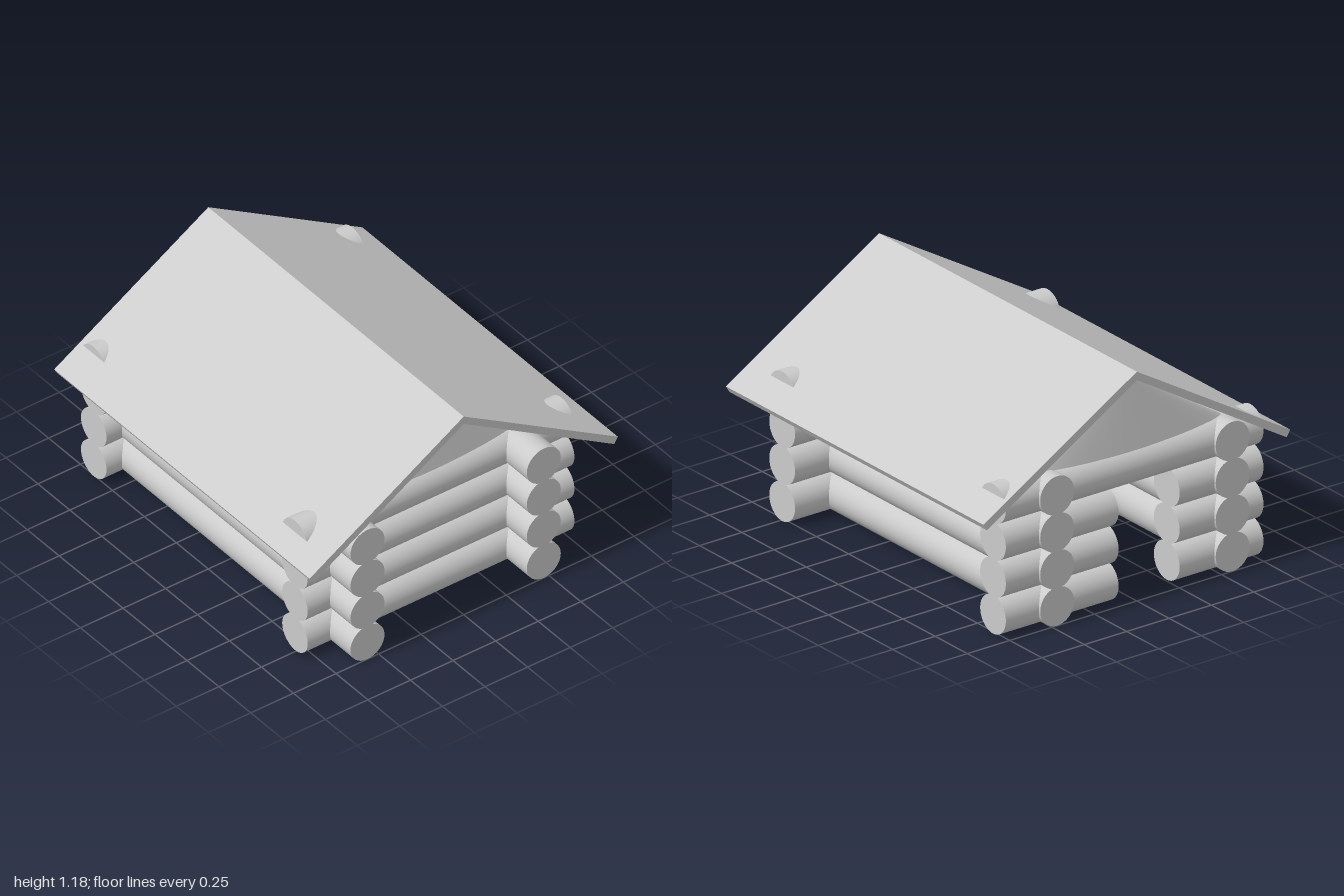
import * as THREE from 'three';

const R = 0.1;          // log radius
const STEP = 0.19;      // height between log rows
const ROWS = 4;
const WALL_X = { left: 0.74, right: -0.89 };   // centre lines of the end walls
const WALL_Z = { front: 0.565, back: -0.47 };  // centre lines of the long walls

export function createModel() {
  const cabin = new THREE.Group();
  cabin.name = 'logCabin';
  const material = new THREE.MeshStandardMaterial({ color: 0xcccccc });

  const add = (parent, name, geometry) => {
    const mesh = new THREE.Mesh(geometry, material);
    mesh.name = name;
    parent.add(mesh);
    return mesh;
  };
  const wall = (name) => {
    const group = new THREE.Group();
    group.name = name;
    cabin.add(group);
    return group;
  };

  // One round log lying along x or z between two ends
  const log = (parent, name, axis, from, to, across, y) => {
    const geometry = new THREE.CylinderGeometry(R, R, to - from, 32);
    const mid = (from + to) / 2;
    if (axis === 'x') geometry.rotateZ(Math.PI / 2).translate(mid, y, across);
    else geometry.rotateX(Math.PI / 2).translate(across, y, mid);
    add(parent, name, geometry);
  };

  const frontWall = wall('frontWall');
  const backWall = wall('backWall');
  const leftWall = wall('leftWall');
  const rightWall = wall('rightWall');

  for (let i = 0; i < ROWS; i++) {
    const y = R + i * STEP;
    log(frontWall, 'frontLog', 'x', -1, 1, WALL_Z.front, y);
    log(backWall, 'backLog', 'x', -1, 1, WALL_Z.back, y);
    log(leftWall, 'leftLog', 'z', -0.77, 0.796, WALL_X.left, y);

    // The doorway splits the lower rows of the right wall
    if (i < ROWS - 1) {
      log(rightWall, 'doorLogBack', 'z', -0.765, -0.1, WALL_X.right, y);
      log(rightWall, 'doorLogFront', 'z', 0.26, 0.755, WALL_X.right, y);
    } else {
      log(rightWall, 'doorLintelLog', 'z', -0.765, 0.755, WALL_X.right, y);
    }
  }

  // Gables: flattened cones rising out of the top end logs
  for (const [side, x] of Object.entries(WALL_X)) {
    const geometry = new THREE.ConeGeometry(1, 0.46, 48);
    geometry.scale(0.072, 1, 0.72);
    const gable = add(cabin, side + 'Gable', geometry);
    gable.position.set(x, 0.9, 0.015);
  }

  // Roof: a bent slab with square-cut eaves, extruded along x
  const half = [[0.905, 0.637], [0.884, 0.603]];
  const profile = new THREE.Shape([
    [0, 1.18],
    ...half.map(([z, y]) => [-z, y]),
    [0, 1.136],
    ...half.slice().reverse(),
  ].map(([z, y]) => new THREE.Vector2(z, y)));
  const roof = new THREE.ExtrudeGeometry(profile, { depth: 2, bevelEnabled: false });
  roof.translate(0, 0, -1).rotateY(-Math.PI / 2);
  add(cabin, 'roof', roof);

  return cabin;
}
